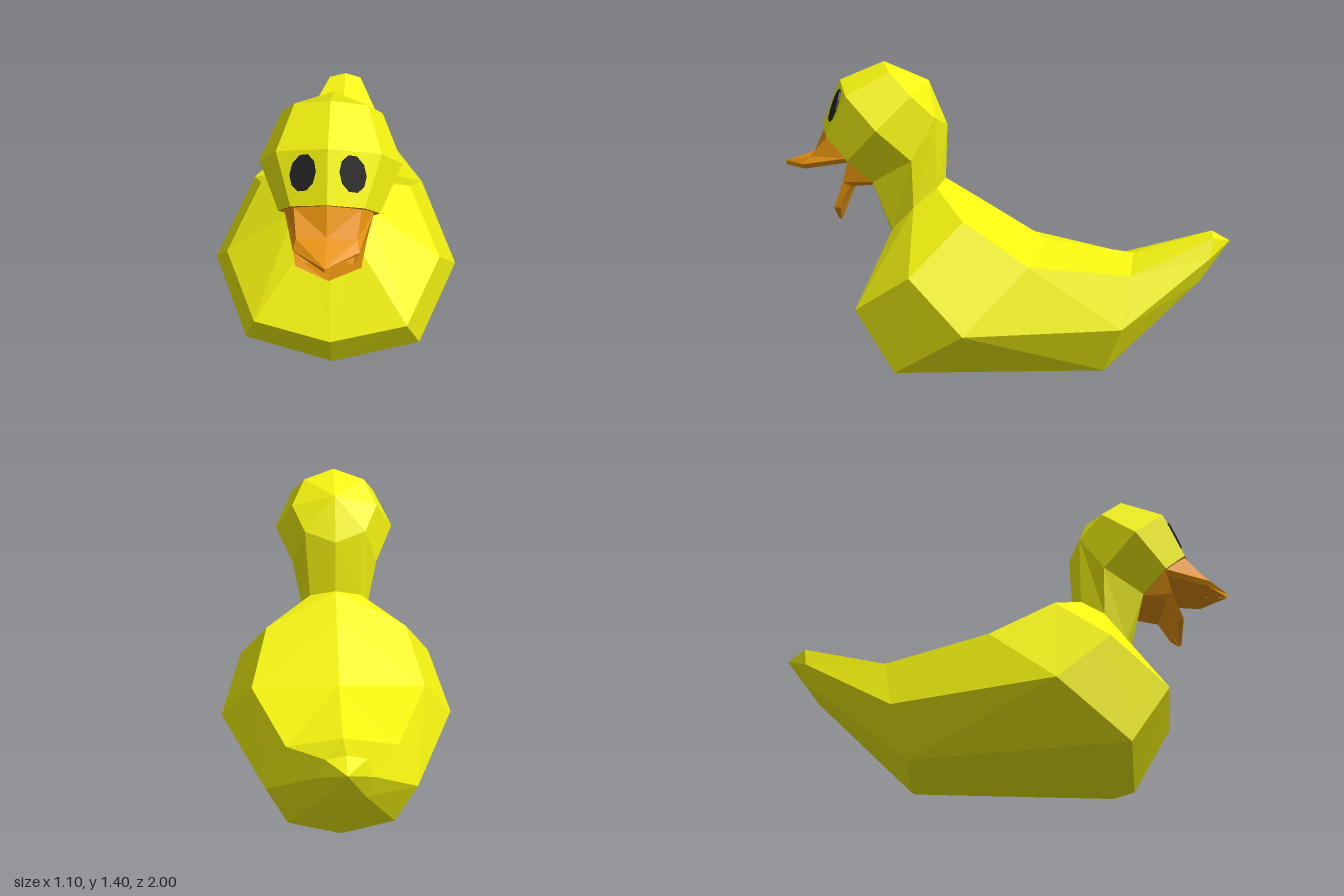
import * as THREE from 'three';

const yellow = new THREE.MeshStandardMaterial({ color: 0xf4f410, flatShading: true });
const orange = new THREE.MeshStandardMaterial({ color: 0xe8930f, flatShading: true, side: THREE.DoubleSide });
const black = new THREE.MeshStandardMaterial({ color: 0x222222, flatShading: true });

// Closed ring from half a cross-section: lower centre, round the left side, upper centre.
function mirrorRing(half) {
  const right = half.slice(1, -1).reverse().map(([x, y, z]) => [-x, y, z]);
  return [...half, ...right].map((p) => new THREE.Vector3(...p));
}

// Flat-shaded skin through half sections, ordered from the front to the back.
function loft(name, sections, material) {
  const rings = sections.map(mirrorRing);
  const points = [];
  const tri = (a, b, c) => {
    if (new THREE.Triangle(a, b, c).getArea() > 1e-7) points.push(a, b, c);
  };
  for (let i = 0; i < rings.length - 1; i++) {
    const a = rings[i], b = rings[i + 1], n = a.length;
    for (let j = 0; j < n; j++) {
      const k = (j + 1) % n;
      if (j < n / 2) {
        tri(a[j], b[j], a[k]);
        tri(a[k], b[j], b[k]);
      } else {
        tri(a[j], b[j], b[k]);
        tri(a[j], b[k], a[k]);
      }
    }
  }
  const geometry = new THREE.BufferGeometry().setFromPoints(points);
  geometry.computeVertexNormals();
  const mesh = new THREE.Mesh(geometry, material);
  mesh.name = name;
  return mesh;
}

const pole = (y, z, count = 5) => Array.from({ length: count }, () => [0, y, z]);

// Ring of the head ball: offset along its axis, which tilts up and back by 45 degrees.
function headRing(offset, radius) {
  const s = Math.SQRT1_2;
  return [0, 1, 2, 3, 4].map((i) => {
    const a = (i * Math.PI) / 4;
    const across = -Math.cos(a) * radius;
    return [
      i % 4 ? Math.sin(a) * radius : 0,
      1.12 + s * (offset + across),
      0.55 + s * (across - offset),
    ];
  });
}

export function createModel() {
  const duck = new THREE.Group();
  duck.name = 'duck';

  // Neck, chest, back and tail as one skin
  duck.add(loft('body', [
    [[0, 0.84, 0.57], [0.14, 0.88, 0.59], [0.2, 0.985, 0.41], [0.14, 1.16, 0.31], [0, 1.12, 0.27]],
    [[0, 0.635, 0.53], [0.11, 0.665, 0.51], [0.16, 0.77, 0.41], [0.12, 0.85, 0.31], [0, 0.88, 0.28]],
    [[0, 0.28, 0.69], [0.325, 0.35, 0.65], [0.46, 0.525, 0.4], [0.325, 0.74, 0.18], [0, 0.79, 0.13]],
    [[0, 0, 0.525], [0.39, 0.09, 0.475], [0.55, 0.3, 0.17], [0.39, 0.56, -0.1], [0, 0.6, -0.18]],
    [[0, 0, -0.43], [0.235, 0.06, -0.43], [0.325, 0.27, -0.5], [0.235, 0.49, -0.54], [0, 0.54, -0.57]],
    [[0, 0.4, -0.85], [0.08, 0.43, -0.86], [0.11, 0.54, -0.9], [0.08, 0.625, -0.915], [0, 0.645, -0.92]],
    pole(0.6, -1),
  ], yellow));

  // Head ball, open at the mouth
  const mouthRing = headRing(-0.198, 0.198);
  duck.add(loft('head', [
    mouthRing,
    headRing(0, 0.28),
    headRing(0.198, 0.198),
    pole(1.318, 0.352),
  ], yellow));

  // Hollow mouth
  duck.add(loft('throat', [mouthRing, pole(0.95, 0.63)], orange));

  // Upper bill, from tip to face
  duck.add(loft('upperBill', [
    [[0, 0.935, 1], [0, 0.937, 1], [0, 0.955, 1], [0, 0.955, 1], [0, 0.955, 1]],
    [[0, 0.94, 0.87], [0.115, 0.935, 0.89], [0.125, 0.955, 0.9], [0.115, 0.99, 0.87], [0, 1, 0.87]],
    [[0, 0.97, 0.69], [0.16, 0.97, 0.69], [0.175, 0.99, 0.69], [0.128, 1.075, 0.79], [0, 1.11, 0.82]],
  ], orange));

  // Lower bill, hanging open
  duck.add(loft('lowerBill', [
    [[0, 0.685, 0.755], [0, 0.685, 0.757], [0, 0.695, 0.77], [0, 0.695, 0.77], [0, 0.695, 0.77]],
    [[0, 0.77, 0.72], [0.11, 0.76, 0.74], [0.13, 0.765, 0.765], [0.1, 0.77, 0.755], [0, 0.79, 0.74]],
    [[0, 0.84, 0.69], [0.13, 0.86, 0.69], [0.15, 0.88, 0.72], [0.11, 0.87, 0.69], [0, 0.83, 0.71]],
    [[0, 0.85, 0.56], [0.13, 0.88, 0.59], [0.175, 0.985, 0.69], [0.12, 0.93, 0.66], [0, 0.9, 0.64]],
  ], orange));

  // Oval eyes lying on the face
  const disc = new THREE.CylinderGeometry(0.05, 0.053, 0.02, 10).rotateX(Math.PI / 2);
  disc.scale(1, 1.47, 1);
  for (const side of [1, -1]) {
    const eye = new THREE.Mesh(disc, black);
    eye.name = side > 0 ? 'leftEye' : 'rightEye';
    eye.position.set(side * 0.092, 1.21, 0.752);
    eye.lookAt(side * (0.092 + 0.325), 1.21 + 0.351, 0.752 + 0.878);
    eye.rotateZ(side * 0.12);
    duck.add(eye);
  }

  return duck;
}
